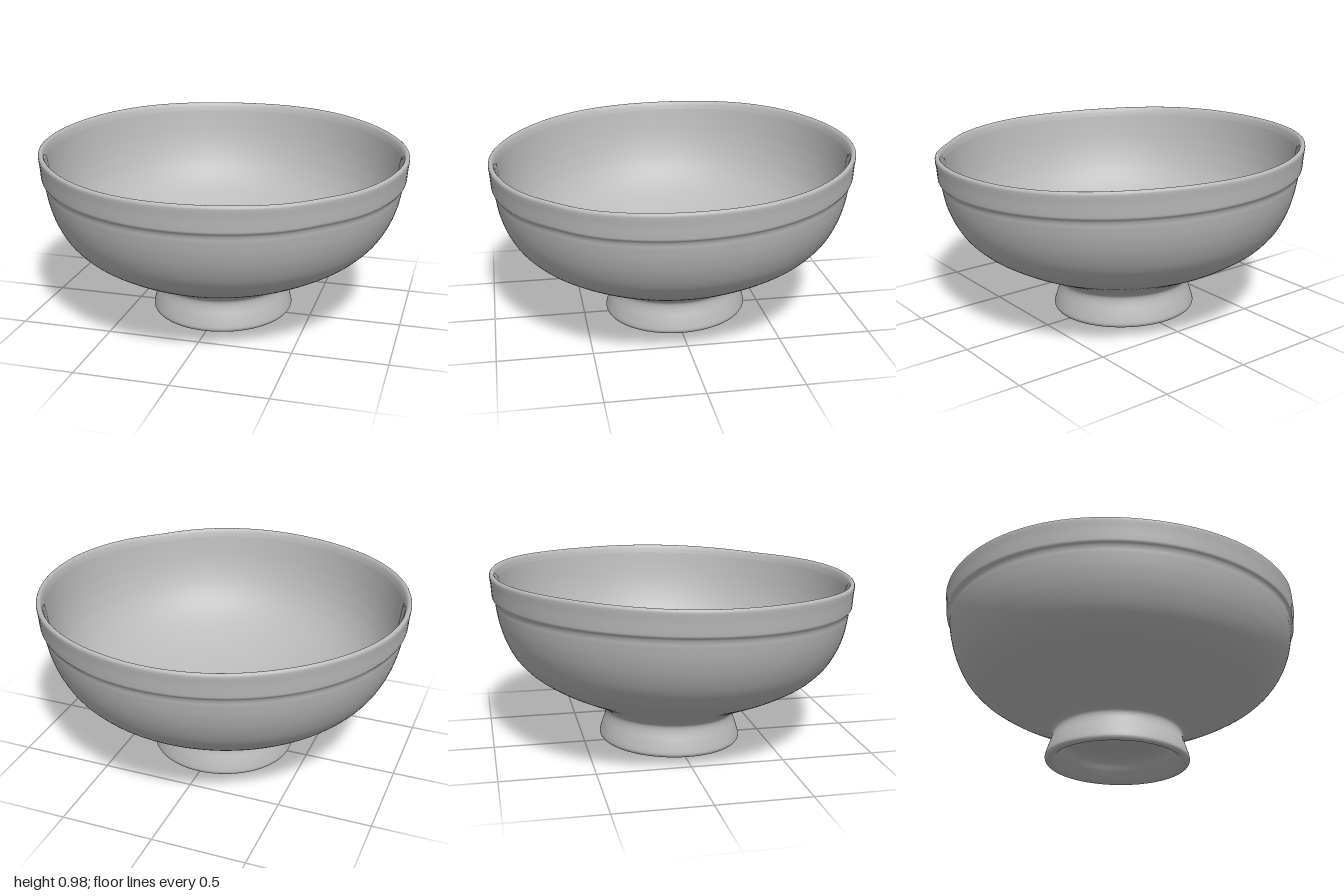
import * as THREE from 'three';

const SEGMENTS = 128;

// Smooth lathe part from [radius, height] points, ordered underside -> outside -> inside
function turned(name, points, material, samples) {
  const curve = new THREE.SplineCurve(points.map(([r, y]) => new THREE.Vector2(r, y)));
  const profile = curve.getPoints(samples).map((p) => new THREE.Vector2(Math.max(p.x, 0), p.y));
  const geometry = new THREE.LatheGeometry(profile, SEGMENTS);
  handShape(geometry);
  const mesh = new THREE.Mesh(geometry, material);
  mesh.name = name;
  return mesh;
}

// Hand-made irregularity: slight lean, off-centre foot, shallow dent and uneven lip
function handShape(geometry) {
  const pos = geometry.attributes.position;
  for (let i = 0; i < pos.count; i++) {
    const x = pos.getX(i), y = pos.getY(i), z = pos.getZ(i);
    const angle = Math.atan2(z, x);
    const high = THREE.MathUtils.smoothstep(y, 0.3, 0.94);
    const low = 1 - THREE.MathUtils.smoothstep(y, 0.1, 0.7);
    const dent = 1 - 0.015 * high * Math.exp(-(((angle - 0.8) / 0.16) ** 2));
    const lip = THREE.MathUtils.smoothstep(y, 0.84, 0.94) * 0.003 * Math.sin(5 * angle + 1);
    pos.setXYZ(
      i,
      x * dent - 0.01 * low,
      y - 0.031 * z - 0.013 * x * high + lip,
      z * dent * (1 - 0.015 * high) - 0.02 * low
    );
  }
}

export function createModel() {
  const clay = new THREE.MeshStandardMaterial({ color: 0xbababa });
  clay.name = 'grey clay';

  const group = new THREE.Group();
  group.name = 'footedBowl';

  // Hollow underside and flared foot ring
  group.add(turned('foot', [
    [0, 0.145], [0.12, 0.143], [0.22, 0.135], [0.27, 0.115], [0.305, 0.07],
    [0.34, 0.028], [0.36, 0.014], [0.378, 0.013], [0.389, 0.024], [0.39, 0.042],
    [0.376, 0.09], [0.36, 0.135], [0.355, 0.165], [0.362, 0.185], [0.385, 0.205],
  ], clay, 90));

  // Outer wall with a stepped band below the lip
  group.add(turned('outerWall', [
    [0.385, 0.205], [0.45, 0.243], [0.55, 0.29], [0.66, 0.342], [0.765, 0.405],
    [0.83, 0.46], [0.88, 0.52], [0.923, 0.6], [0.951, 0.68], [0.966, 0.75],
    [0.97, 0.78], [0.976, 0.797], [0.986, 0.811], [0.989, 0.83], [0.993, 0.88],
    [0.998, 0.925], [0.995, 0.938],
  ], clay, 110));

  // Rounded lip
  group.add(turned('lip', [
    [0.995, 0.938], [0.987, 0.944], [0.977, 0.941], [0.968, 0.927], [0.96, 0.9],
  ], clay, 16));

  // Smooth inside down to the floor
  group.add(turned('innerWall', [
    [0.96, 0.9], [0.947, 0.82], [0.93, 0.74], [0.905, 0.66], [0.868, 0.58],
    [0.81, 0.5], [0.73, 0.43], [0.62, 0.365], [0.48, 0.305], [0.32, 0.262],
    [0.16, 0.238], [0, 0.23],
  ], clay, 80));

  return group;
}
